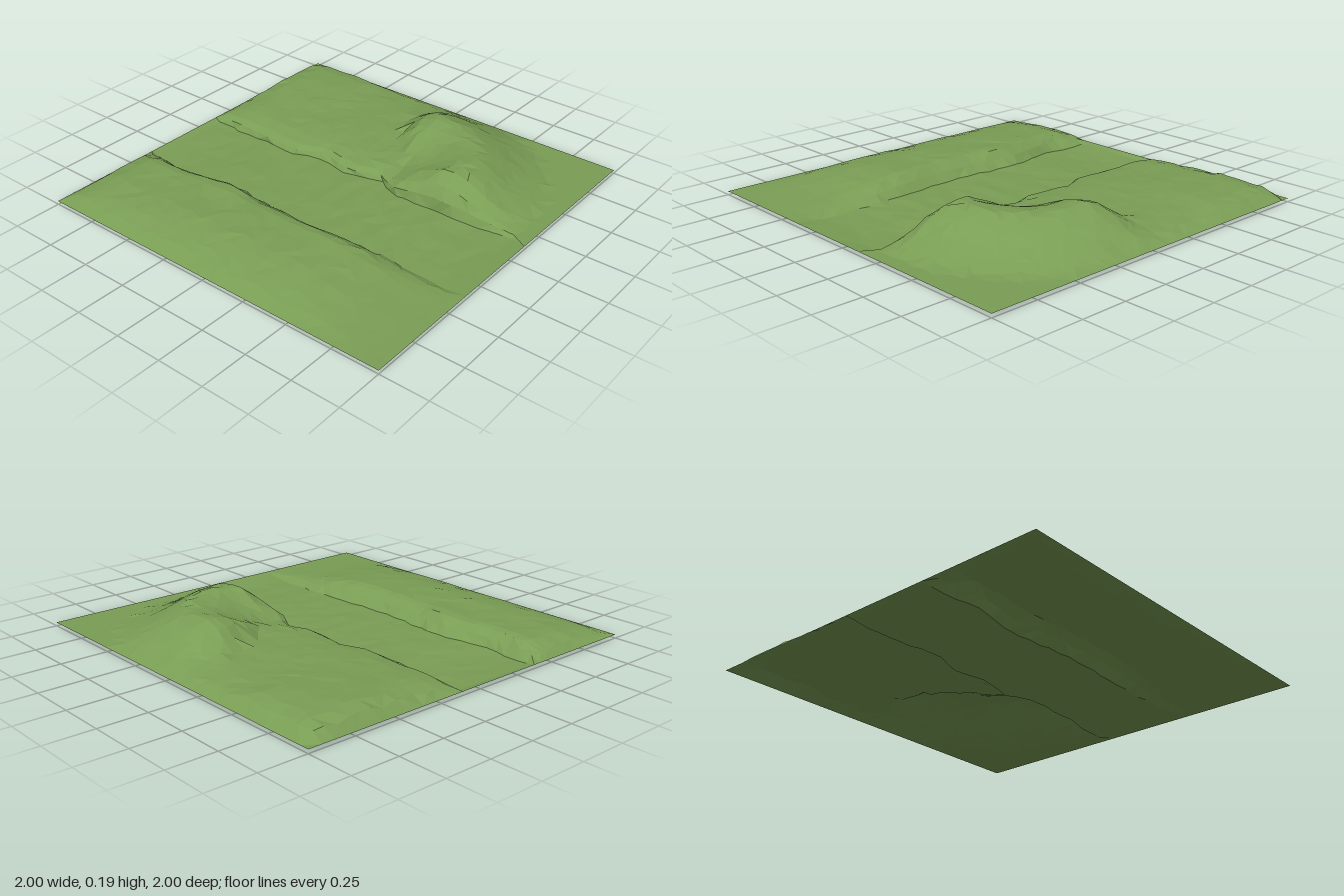
import * as THREE from 'three';

const { smoothstep, lerp } = THREE.MathUtils;
const BASE = 0.02;

// Piecewise linear lookup through [position, value] pairs
function ramp(points, t) {
  if (t <= points[0][0]) return points[0][1];
  for (let i = 1; i < points.length; i++) {
    const [a, va] = points[i - 1], [b, vb] = points[i];
    if (t <= b) return lerp(va, vb, (t - a) / (b - a));
  }
  return points[points.length - 1][1];
}

// Repeatable noise from -1 to 1
function noise(i, j, k) {
  const s = Math.sin(i * 127.1 + j * 311.7 + k * 74.7) * 43758.5453;
  return (s - Math.floor(s)) * 2 - 1;
}

// Where the foot of each valley bank wanders, along z
const LEFT_FOOT = -0.37, RIGHT_FOOT = 0.1;
const leftWander = [[-1, 0], [-0.7, -0.03], [-0.4, 0.03], [-0.1, 0], [0.1, 0], [0.5, 0.02], [1, 0]];
const rightWander = [[-1, 0.01], [-0.6, 0], [-0.4, -0.01], [-0.25, 0.05], [-0.05, 0.01],
  [0.14, 0.07], [0.22, 0.0], [0.6, 0.01], [0.9, 0.05], [1, 0.05]];

// Low bank on the -x side of the valley
function lowBank(u, z) {
  const across = ramp([[-1, 0], [-0.92, 0.035], [-0.85, 0.05], [-0.72, 0.068], [-0.5, 0.072],
    [-0.45, 0.064], [-0.41, 0.032], [LEFT_FOOT, 0]], u);
  const along = ramp([[-1, 0], [-0.95, 0.55], [-0.85, 0.85], [-0.5, 0.92], [-0.2, 1], [0.3, 1],
    [0.52, 0.7], [0.7, 0.28], [0.95, 0]], z);
  const knoll = 0.018 * Math.exp(-((u + 0.47) ** 2) / 0.002 - ((z + 0.35) ** 2) / 0.01);
  return across * along + knoll;
}

// Bank on the +x side behind the hill
function backBank(u, z) {
  const across = ramp([[RIGHT_FOOT, 0], [0.125, 0.028], [0.17, 0.045], [0.35, 0.055], [0.8, 0.052], [0.93, 0.035], [1, 0]], u);
  const along = ramp([[-1, 0], [-0.96, 0.6], [-0.85, 0.95], [0.05, 1], [0.3, 0.8], [0.6, 0]], z);
  return across * along;
}

// Flat mound in the far +x corner, steep toward the rim
function cornerMound(u, z) {
  const across = ramp([[0.15, 0], [0.45, 0.06], [0.65, 0.067], [0.86, 0.06], [0.95, 0.042], [1, 0]], u);
  const along = ramp([[-1, 0], [-0.95, 0.75], [-0.85, 1], [-0.55, 1], [-0.25, 0.5], [0, 0]], z);
  return across * along;
}

// Crescent hill around a hollow that opens toward the valley
function crescentHill(u, z) {
  const dx = u - 0.25, dz = z - 0.12;
  const r = Math.hypot(dx, dz);
  const angle = Math.atan2(dz, dx);
  const section = ramp([[0, 0.055], [0.12, 0.075], [0.25, 0.125], [0.34, 0.16], [0.44, 0.16],
    [0.54, 0.115], [0.64, 0.06], [0.72, 0.028], [0.8, 0]], r);
  const reach = angle < -1.6 ? smoothstep(-angle, 2.4, 3.14) : smoothstep(angle, -0.75, 0);
  const bluff = ramp([[RIGHT_FOOT, 0], [0.115, 0.35], [0.15, 0.7], [0.23, 1]], u);
  const mouth = ramp([[0, 0.2], [0.16, 0.5], [0.26, 0.9], [0.4, 1], [0.85, 1], [0.93, 0]], z);
  const edge = ramp([[0.92, 1], [1, 0]], u);
  return section * reach * bluff * edge * lerp(mouth, 1, smoothstep(u, 0.25, 0.4));
}

// Evenly divides each span between the given stops
function divide(stops) {
  const out = [stops[0][0]];
  for (let i = 1; i < stops.length; i++) {
    const [end, count] = stops[i], start = stops[i - 1][0];
    for (let n = 1; n <= count; n++) out.push(lerp(start, end, n / count));
  }
  return out;
}

export function createModel() {
  const group = new THREE.Group();
  // Columns crowd together at the two banks
  const columns = divide([[-1], [-0.93, 1], [-0.5, 6], [LEFT_FOOT, 3], [RIGHT_FOOT, 5], [0.115, 1], [0.15, 1],
    [0.23, 1], [0.93, 11], [1, 1]]);
  const rows = divide([[-1], [-0.95, 1], [-0.87, 1], [0.92, 27], [1, 1]]);
  const positions = [], indices = [];
  const w = columns.length, h = rows.length;

  rows.forEach((row, j) => columns.forEach((column, i) => {
    const rim = i === 0 || j === 0 || i === w - 1 || j === h - 1;
    if (rim) {
      positions.push(column, BASE, row);
      return;
    }
    const nearLeft = Math.exp(-((column - LEFT_FOOT) ** 2) / 0.02);
    const nearRight = Math.exp(-((column - RIGHT_FOOT) ** 2) / 0.015);
    const bank = nearLeft > 0.3 || nearRight > 0.3;
    // Heights are read at the jittered spot so slopes stay clean
    const u = column + (bank ? 0 : noise(i, j, 2) * 0.017);
    const z = row + noise(i, j, 1) * 0.015;
    const x = u + nearLeft * ramp(leftWander, z) + nearRight * ramp(rightWander, z)
      + (bank ? noise(i, j, 2) * 0.007 : 0);
    const rise = Math.max(lowBank(u, z), backBank(u, z), cornerMound(u, z), crescentHill(u, z));
    const swell = 0.05 * Math.sin(7 * u + 4 * z) * Math.sin(9 * z - 3 * u);
    let y = BASE + rise * (1 + swell) + noise(i, j, 3) * Math.min(0.0025, rise * 0.06);
    if (column > LEFT_FOOT - 0.01 && column < RIGHT_FOOT + 0.01) {
      // Valley floor, sunk a little deeper near both ends
      y -= 0.006 + 0.01 * Math.exp(-((Math.abs(z) - 0.76) ** 2) / 0.03) + 0.003 * noise(i, j, 4);
    }
    positions.push(x, y, z);
  }));

  // Two triangles per cell, with mixed diagonals
  for (let j = 0; j < h - 1; j++) {
    for (let i = 0; i < w - 1; i++) {
      const a = j * w + i, b = a + 1, c = a + w, d = c + 1;
      if (noise(i, j, 5) > 0) indices.push(a, c, b, b, c, d);
      else indices.push(a, c, d, a, d, b);
    }
  }

  const geometry = new THREE.BufferGeometry();
  geometry.setAttribute('position', new THREE.Float32BufferAttribute(positions, 3));
  geometry.setIndex(indices);
  geometry.computeVertexNormals();

  const grass = new THREE.MeshStandardMaterial({ color: 0x7a9e55, flatShading: true, side: THREE.DoubleSide });
  const terrain = new THREE.Mesh(geometry, grass);
  terrain.name = 'grassTerrain';
  group.add(terrain);
  group.name = 'valleyLandscape';
  return group;
}
